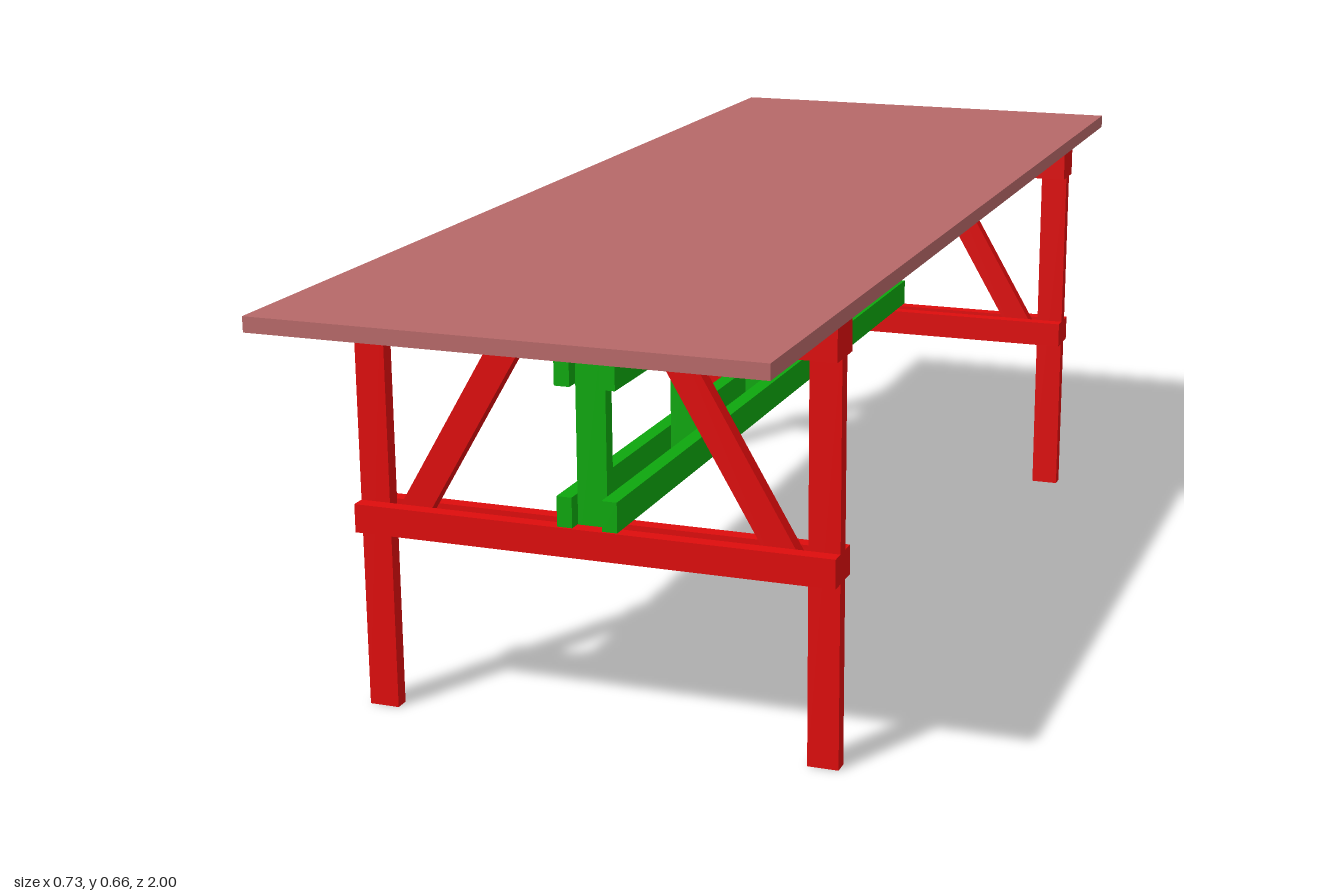
import * as THREE from 'three';

const RED = new THREE.MeshStandardMaterial({ color: 0xdd0c0c });
const GREEN = new THREE.MeshStandardMaterial({ color: 0x0ea60e });
const TOP = new THREE.MeshStandardMaterial({ color: 0xb66868 });

const T = 0.022;          // board thickness
const TRESTLE_Z = 0.695;  // trestle distance from the middle
const TOP_Y = 0.638;      // underside of the table top

// Box given by its min and max corners
function board(name, material, [x0, y0, z0], [x1, y1, z1]) {
  const mesh = new THREE.Mesh(new THREE.BoxGeometry(x1 - x0, y1 - y0, z1 - z0), material);
  mesh.position.set((x0 + x1) / 2, (y0 + y1) / 2, (z0 + z1) / 2);
  mesh.name = name;
  return mesh;
}

// Flat outline extruded to a centred thickness
function plank(name, material, points, thickness) {
  const shape = new THREE.Shape(points.map(([x, y]) => new THREE.Vector2(x, y)));
  const geometry = new THREE.ExtrudeGeometry(shape, { depth: thickness, bevelEnabled: false });
  geometry.translate(0, 0, -thickness / 2);
  const mesh = new THREE.Mesh(geometry, material);
  mesh.name = name;
  return mesh;
}

function createTrestle() {
  const trestle = new THREE.Group();
  trestle.name = 'trestle';
  for (const s of [-1, 1]) {
    const cx = s * 0.341;
    trestle.add(board('leg', RED, [cx - 0.023, 0, -T / 2], [cx + 0.023, TOP_Y, T / 2]));

    // Slanted brace between the paired crossbars
    const outline = [[0.275, 0.275], [0.318, 0.275], [0.318, 0.287], [0.113, TOP_Y], [0.063, TOP_Y]];
    trestle.add(plank('brace', RED, outline.map(([x, y]) => [s * x, y]), T));

    // Crossbars clamp the legs from both faces
    const z = s * T;
    for (const [y0, y1] of [[0.275, 0.318], [0.592, TOP_Y]]) {
      trestle.add(board('crossbar', RED, [-0.364, y0, z - T / 2], [0.364, y1, z + T / 2]));
    }
  }
  // Central post carrying the stretcher
  trestle.add(board('endPost', GREEN, [-0.0225, 0.275, -T / 2], [0.0225, TOP_Y, T / 2]));
  return trestle;
}

function createStretcher() {
  const stretcher = new THREE.Group();
  stretcher.name = 'stretcher';
  // Paired long rails
  for (const s of [-1, 1]) {
    const x = s * 0.034;
    for (const y of [0.319, 0.524]) {
      stretcher.add(board('longRail', GREEN, [x - 0.0115, y, -0.727], [x + 0.0115, y + 0.045, 0.727]));
    }
  }
  // Intermediate posts
  for (const z of [0.334, -0.008, -0.35]) {
    stretcher.add(board('post', GREEN, [-0.0225, 0.319, z - T / 2], [0.0225, 0.569, z + T / 2]));
  }
  // Diagonal in the rear bay, outlined as distance to the rear and height
  const diagonal = plank('diagonal', GREEN, [
    [0.361, 0.549], [0.66, 0.319], [0.684, 0.319], [0.684, 0.333], [0.377, 0.569], [0.361, 0.569],
  ], 0.045);
  diagonal.rotation.y = Math.PI / 2;
  stretcher.add(diagonal);
  return stretcher;
}

export function createModel() {
  const table = new THREE.Group();
  table.name = 'trestleTable';
  table.add(board('tableTop', TOP, [-0.364, TOP_Y, -1], [0.364, 0.66, 1]));
  for (const s of [-1, 1]) {
    const trestle = createTrestle();
    trestle.position.z = s * TRESTLE_Z;
    table.add(trestle);
  }
  table.add(createStretcher());
  return table;
}
